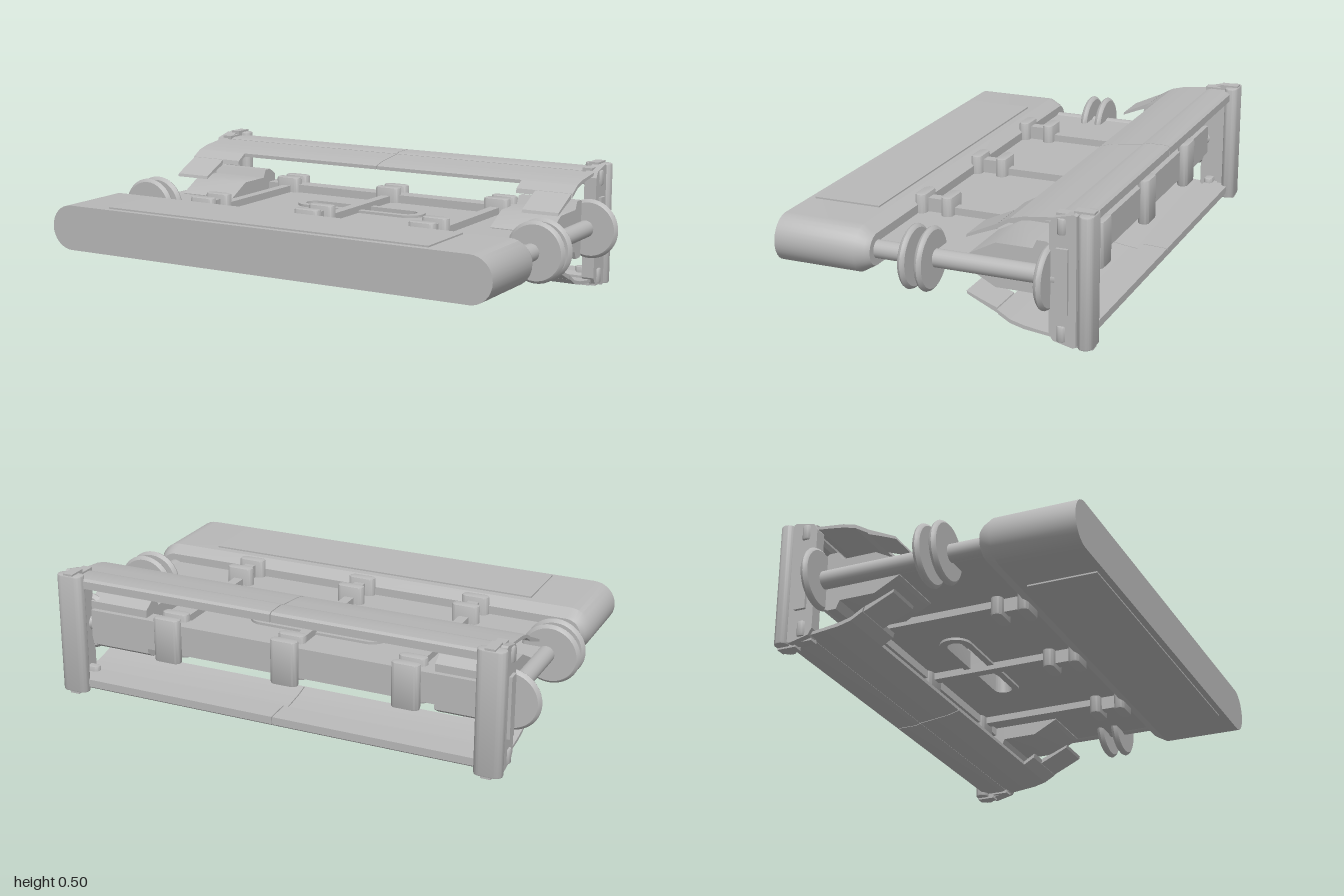
import * as THREE from 'three';
import { toCreasedNormals } from 'three/addons/utils/BufferGeometryUtils.js';

const grey = new THREE.MeshStandardMaterial({ color: 0xb8b8b8 });
grey.name = 'plain grey';

function add(parent, name, geometry, x = 0, y = 0, z = 0) {
  const mesh = new THREE.Mesh(geometry, grey);
  mesh.name = name;
  mesh.position.set(x, y, z);
  parent.add(mesh);
  return mesh;
}

// Box given by its limits on each axis
function box(parent, name, x0, x1, y0, y1, z0, z1) {
  return add(parent, name, new THREE.BoxGeometry(x1 - x0, y1 - y0, z1 - z0),
    (x0 + x1) / 2, (y0 + y1) / 2, (z0 + z1) / 2);
}

// Side profile of [z, y] points, extruded along x
function prism(parent, name, points, x0, x1) {
  const shape = new THREE.Shape(points.map(([z, y]) => new THREE.Vector2(-z, y)));
  const g = new THREE.ExtrudeGeometry(shape, { depth: x1 - x0, bevelEnabled: false });
  g.rotateY(Math.PI / 2);
  return add(parent, name, toCreasedNormals(g, 0.5), x0, 0, 0);
}

// Lying outline with round ends
function stadium(path, cx, cy, halfLength, r) {
  path.absarc(cx + halfLength - r, cy, r, -Math.PI / 2, Math.PI / 2, false);
  path.absarc(cx - halfLength + r, cy, r, Math.PI / 2, Math.PI * 1.5, false);
  path.closePath();
  return path;
}

// Extrude an x-z outline upwards, centred on y = 0
function slab(shape, height, bevel = 0) {
  const g = new THREE.ExtrudeGeometry(shape, {
    depth: height - 2 * bevel, bevelEnabled: bevel > 0, bevelSize: bevel,
    bevelThickness: bevel, bevelOffset: -bevel, bevelSegments: 2, curveSegments: 10,
  });
  g.translate(0, 0, -(height - 2 * bevel) / 2);
  g.rotateX(-Math.PI / 2);
  return toCreasedNormals(g, 0.5);
}

// Closed loft of round-ended sections [z, halfWidth, halfHeight]
function loft(sections) {
  const steps = 16, pos = [], index = [], n = 2 * (steps + 1);
  for (const [z, w, h] of sections) {
    for (let i = 0; i < n; i++) {
      const side = i <= steps ? 1 : -1;
      const a = -Math.PI / 2 + (i - (side < 0 ? 1 : 0)) * Math.PI / steps;
      pos.push(side * (w - h) + h * Math.cos(a), h * Math.sin(a), z);
    }
  }
  const last = sections.length - 1;
  for (let k = 0; k < last; k++) {
    for (let i = 0; i < n; i++) {
      const a = k * n + i, b = k * n + (i + 1) % n;
      index.push(a, b, b + n, a, b + n, a + n);
    }
  }
  const c = pos.length / 3;
  pos.push(0, 0, sections[0][0], 0, 0, sections[last][0]);
  for (let i = 0; i < n; i++) {
    const j = (i + 1) % n;
    index.push(c, j, i, c + 1, last * n + i, last * n + j);
  }
  const g = new THREE.BufferGeometry();
  g.setAttribute('position', new THREE.Float32BufferAttribute(pos, 3));
  g.setIndex(index);
  return toCreasedNormals(g, 0.5);
}

// Round-edged disc facing along z
function discGeometry(r, t) {
  const e = 0.012;
  const p = [[0, -t / 2], [r - e, -t / 2], [r - 0.003, -t / 4], [r, 0],
    [r - 0.003, t / 4], [r - e, t / 2], [0, t / 2]];
  const g = new THREE.LatheGeometry(p.map(([x, y]) => new THREE.Vector2(x, y)), 40);
  g.rotateX(Math.PI / 2);
  return toCreasedNormals(g, 0.6);
}

// Rounded lug of a clamp, standing through the deck
function lug(parent, name, x, z, height) {
  add(parent, name, slab(stadium(new THREE.Shape(), 0, 0, 0.056, 0.023), height, 0.008), x, 0, z);
}

// Curved cover with two drooping flaps
function makeCover() {
  const cover = new THREE.Group();
  cover.name = 'cover';
  const sheet = [[-0.47, 0.21], [-0.40, 0.202], [-0.34, 0.193], [-0.29, 0.18],
    [-0.29, 0.194], [-0.34, 0.207], [-0.40, 0.214], [-0.47, 0.222]];
  const rear = [[-0.57, 0.19], [-0.47, 0.185], [-0.46, 0.2], [-0.46, 0.222], [-0.48, 0.228], [-0.56, 0.228], [-0.57, 0.22]];
  const shoulder = [[-0.29, 0.18], [-0.24, 0.15], [-0.245, 0.168], [-0.29, 0.194]];
  const tip = [[-0.238, 0.146], [-0.18, 0.124], [-0.122, 0.1], [-0.126, 0.112], [-0.185, 0.14], [-0.243, 0.167]];
  for (const s of [-1, 1]) {
    const span = (a, b) => (s > 0 ? [a, b] : [-b, -a]);
    prism(cover, 'coverSheet', sheet, ...span(0.002, 0.885));
    prism(cover, 'coverRearBar', rear, ...span(0.002, 0.87));
    prism(cover, 'coverShoulder', shoulder, ...span(0.65, 0.885));
    prism(cover, 'coverFlap', tip, ...span(0.73, 0.88));
  }
  return cover;
}

export function createModel() {
  const model = new THREE.Group();
  model.name = 'model';
  const body = new THREE.Group();
  body.name = 'body';
  body.position.y = 0.25;
  model.add(body);

  // Broad round-ended front block with raised panels above and below
  add(body, 'frontBlock', loft([[0.23, 0.93, 0.06], [0.245, 0.945, 0.068],
    [0.28, 0.96, 0.089], [0.6, 0.96, 0.089]]));
  for (const s of [-1, 1]) box(body, 'blockPanel', -0.7, 0.7, s * 0.091 - 0.004, s * 0.091 + 0.004, 0.31, 0.575);

  // Deck with a long slot and its rim
  const deck = new THREE.Shape();
  deck.moveTo(-0.88, -0.27).lineTo(0.88, -0.27).lineTo(0.88, 0.45).lineTo(-0.88, 0.45).closePath();
  deck.holes.push(stadium(new THREE.Path(), -0.015, 0.19, 0.255, 0.037));
  add(body, 'deck', slab(deck, 0.054));
  const rim = stadium(new THREE.Shape(), -0.015, 0.19, 0.288, 0.064);
  rim.holes.push(stadium(new THREE.Path(), -0.015, 0.19, 0.255, 0.037));
  add(body, 'slotRim', slab(rim, 0.074));

  // Rear beam closing the deck
  box(body, 'rearBeam', -0.84, 0.84, -0.06, 0.06, -0.47, -0.4);

  // Rails and clamps
  for (const x of [-0.5, -0.01, 0.49]) {
    box(body, 'rail', x - 0.02, x + 0.02, -0.055, 0.055, -0.42, 0.25);
    for (const z of [0.118, 0.225]) lug(body, 'clampLug', x, z, 0.2);
    box(body, 'clampNeck', x - 0.022, x + 0.022, -0.08, 0.08, 0.13, 0.21);
    lug(body, 'rearClampLug', x, -0.41, 0.18);
    lug(body, 'rearClampLug', x, -0.48, 0.18);
    box(body, 'rearClampNeck', x - 0.03, x + 0.03, -0.075, 0.075, -0.49, -0.4);
  }

  const disc = discGeometry(0.118, 0.028);
  const wedge = [[-0.12, -0.03], [-0.12, 0.03], [-0.22, 0.083], [-0.36, 0.083],
    [-0.375, 0.115], [-0.41, 0.115], [-0.45, 0.09], [-0.45, -0.09],
    [-0.41, -0.115], [-0.375, -0.115], [-0.36, -0.083], [-0.22, -0.083]];
  for (const s of [-1, 1]) {
    const side = new THREE.Group();
    side.name = s > 0 ? 'leftSide' : 'rightSide';
    body.add(side);
    const sbox = (name, x0, x1, ...r) => box(side, name, s > 0 ? x0 : -x1, s > 0 ? x1 : -x0, ...r);

    // Edge shaft carrying the discs
    const shaft = new THREE.CylinderGeometry(0.034, 0.034, 0.71, 24);
    shaft.rotateX(Math.PI / 2);
    add(side, 'shaft', shaft, s * 0.868, 0, -0.105);
    const point = new THREE.CylinderGeometry(0.034, 0.012, 0.025, 24);
    point.rotateX(Math.PI / 2);
    add(side, 'shaftEnd', point, s * 0.868, 0, -0.472);
    for (const z of [0.014, 0.078, -0.432]) add(side, 'disc', disc, s * 0.882, 0, z);

    // Wedge block rising from the deck
    prism(side, 'wedgeBlock', wedge, s > 0 ? 0.6 : -0.85, s > 0 ? 0.85 : -0.6);

    // Upright end post
    const post = [[-0.54, 0.238], [-0.53, 0.243], [-0.455, 0.225], [-0.44, 0.2],
      [-0.44, -0.2], [-0.455, -0.225], [-0.53, -0.243], [-0.54, -0.238]];
    prism(side, 'postWeb', post, s > 0 ? 0.85 : -0.9, s > 0 ? 0.9 : -0.85);
    add(side, 'postColumn', slab(stadium(new THREE.Shape(), 0, 0, 0.055, 0.027), 0.484, 0.006),
      s * 0.857, 0, -0.57);
    sbox('postStrap', 0.835, 0.875, -0.249, 0.249, -0.593, -0.52);
    sbox('sideGrip', 0.9, 0.912, -0.12, 0.12, -0.512, -0.468);
    for (const t of [-1, 1]) {
      sbox('strapEnd', 0.835, 0.875, t * 0.22 - 0.015, t * 0.22 + 0.015, -0.53, -0.455);
      add(side, 'postLug', slab(stadium(new THREE.Shape(), 0, 0, 0.053, 0.018), 0.06, 0.006),
        s * 0.857, t * 0.196, -0.485);
    }
  }

  // Upper and lower covers
  const upper = makeCover();
  const lower = makeCover();
  upper.name = 'upperCover';
  lower.name = 'lowerCover';
  lower.rotation.z = Math.PI;
  body.add(upper, lower);

  return model;
}
